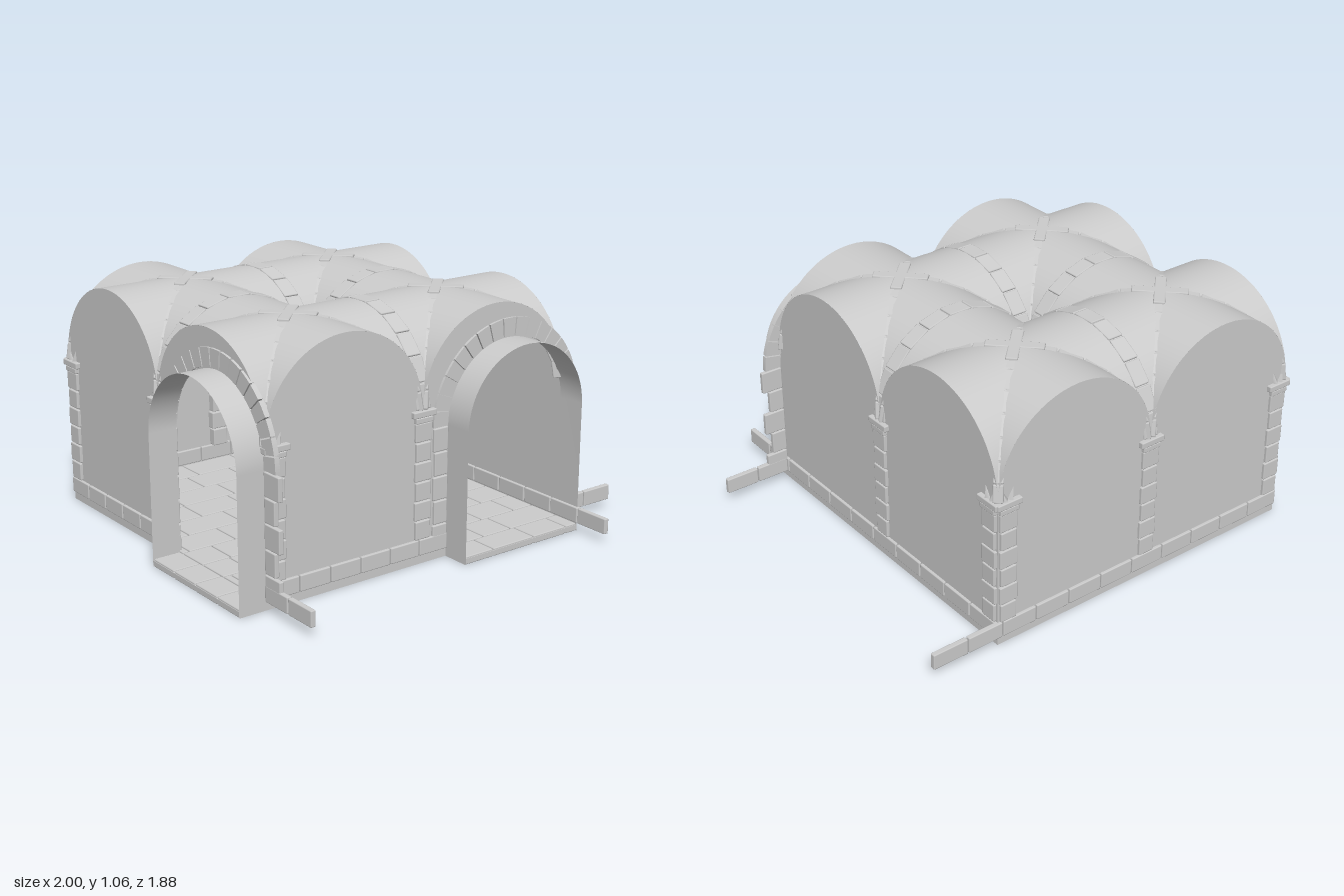
import * as THREE from 'three';
import { RoundedBoxGeometry } from 'three/addons/geometries/RoundedBoxGeometry.js';

const stone = new THREE.MeshStandardMaterial({ color: 0xcccccc });
const shell = new THREE.MeshStandardMaterial({ color: 0xcccccc, side: THREE.DoubleSide });
const gold = new THREE.MeshStandardMaterial({ color: 0xd0a040 });

const R = 0.3875, H = 2 * R;          // bay half width, room half width
const CX = -0.095, CZ = -0.145;       // room centre
const SPRING = 0.67;                  // height where the vaults start
const DOOR = { c: 0.455, r: 0.32, y: 0.58, depth: 0.13 };
const GAP = 0.005;

function add(parent, name, geometry, x = 0, y = 0, z = 0, material = stone) {
  const mesh = new THREE.Mesh(geometry, material);
  mesh.name = name;
  mesh.position.set(x, y, z);
  parent.add(mesh);
  return mesh;
}

function block(parent, name, w, h, d, x, y, z) {
  return add(parent, name, new RoundedBoxGeometry(w, h, d, 1, 0.005), x, y, z);
}

// Smooth strip between two rows of points
function strip(a, b) {
  const position = [], index = [];
  a.forEach((p, i) => {
    position.push(...p, ...b[i]);
    const k = 2 * i;
    if (i) index.push(k - 2, k - 1, k, k - 1, k + 1, k);
  });
  const g = new THREE.BufferGeometry();
  g.setAttribute('position', new THREE.Float32BufferAttribute(position, 3));
  g.setIndex(index);
  g.computeVertexNormals();
  return g;
}

// Half circle from right to left
function arc(cx, cy, r, n = 32) {
  return Array.from({ length: n + 1 }, (_, i) => {
    const t = Math.PI * i / n;
    return [cx + r * Math.cos(t), cy + r * Math.sin(t)];
  });
}

// Wall of one bay with a rounded top, optionally cut by the doorway
function bayWall(u, door) {
  const pts = [[u - R, 0]];
  if (door) {
    const { c, r, y } = DOOR;
    pts.push([c - r, 0], ...arc(c, y, r).reverse());
  } else pts.push([u + R, 0]);
  pts.push(...arc(u, SPRING, R));
  return new THREE.ShapeGeometry(new THREE.Shape(pts.map(p => new THREE.Vector2(...p))));
}

// Row of blocks along the foot of a wall
function skirting(parent, from, to) {
  const n = Math.max(1, Math.round((to - from) / 0.165)), w = (to - from) / n;
  for (let i = 0; i < n; i++)
    block(parent, 'skirtingBlock', w - GAP, 0.07, 0.024, from + (i + 0.5) * w, 0.075, H);
}

function pilaster(parent, u) {
  const g = new THREE.Group();
  g.name = 'pilaster';
  g.position.set(u, 0, H);
  parent.add(g);
  const rows = 6, h = 0.51 / rows;
  for (let i = 0; i < rows; i++)
    block(g, 'pilasterBlock', i % 2 ? 0.086 : 0.076, h - GAP, 0.05, 0, 0.11 + (i + 0.5) * h, -0.012);
  block(g, 'capitalNeck', 0.09, 0.025, 0.06, 0, 0.63, -0.012);
  block(g, 'capital', 0.12, 0.028, 0.075, 0, 0.657, -0.016);
  for (const s of [-1, 1]) {
    const leaf = add(g, 'springerTip', new THREE.ConeGeometry(0.02, 0.065, 4), s * 0.022, 0.7, -0.004);
    leaf.rotation.z = -s * 0.25;
  }
}

// Arch ring, jambs and short barrel passage
function doorway(parent) {
  const { c, r, y, depth } = DOOR;
  const g = new THREE.Group();
  g.name = 'doorway';
  parent.add(g);
  const line = [[c + r, 0], ...arc(c, y, r), [c - r, 0]];
  add(g, 'passage', strip(line.map(p => [...p, H]), line.map(p => [...p, H + depth])), 0, 0, 0, shell);
  const n = 17, inner = r + 0.008, outer = r + 0.085;
  for (let i = 0; i < n; i++) {
    const a = Math.PI * i / n + 0.008, b = Math.PI * (i + 1) / n - 0.008;
    const s = new THREE.Shape();
    s.absarc(0, 0, outer, a, b, false);
    s.absarc(0, 0, inner, b, a, true);
    add(g, 'archStone', new THREE.ExtrudeGeometry(s, { depth: 0.022, bevelEnabled: false, curveSegments: 3 }),
      c, y, H - 0.011);
  }
  const h = 0.106;
  for (let i = 0; i < 5; i++) for (const s of [-1, 1]) {
    const w = i % 2 ? 0.07 : s > 0 ? 0.1 : 0.076;
    block(g, 'jambStone', w, h - GAP, 0.022, c + s * (r + 0.004 + w / 2), 0.05 + (i + 0.5) * h, H);
  }
}

// Blocks set along half an ellipse in the local xy plane
function ribArch(parent, name, rx, count, width, thick, lift) {
  for (let i = 0; i < count; i++) {
    const t = Math.PI * (i + 0.5) / count;
    const tx = -rx * Math.sin(t), ty = R * Math.cos(t), l = Math.hypot(tx, ty);
    const off = lift - thick / 2;
    const rib = block(parent, name, l * Math.PI / count - GAP, thick, width,
      rx * Math.cos(t) + off * ty / l, R * Math.sin(t) - off * tx / l, 0);
    rib.rotation.z = Math.atan2(ty, tx) + Math.PI;
  }
}

// Cross vault over one bay: four webs, diagonal ribs and a crossing
function vault(parent, x, z) {
  const g = new THREE.Group();
  g.name = 'vault';
  g.position.set(x, SPRING, z);
  parent.add(g);
  const line = arc(0, 0, R, 40);
  for (let q = 0; q < 4; q++) {
    const web = add(g, 'vaultWeb',
      strip(line.map(([u, v]) => [u, v, Math.abs(u)]), line.map(([u, v]) => [u, v, R])), 0, 0, 0, shell);
    web.rotation.y = q * Math.PI / 2;
  }
  for (const s of [-1, 1]) {
    const diagonal = new THREE.Group();
    diagonal.name = 'diagonalRib';
    diagonal.rotation.y = s * Math.PI / 4;
    g.add(diagonal);
    ribArch(diagonal, 'ribBlock', R * Math.SQRT2, 15, 0.042, 0.04, 0.002);
    block(diagonal, 'crossingStone', 0.24, 0.03, 0.05, 0, R - 0.012, 0);
  }
}

// Paving in rows of uneven slabs
function paving(parent, x0, x1, z0, z1) {
  const sizes = [0.155, 0.23, 0.19, 0.27, 0.14], rows = Math.max(1, Math.round((z1 - z0) / 0.155));
  const d = (z1 - z0) / rows;
  let k = 0;
  for (let j = 0; j < rows; j++) {
    let x = x0 - (j % 3) * 0.06;
    while (x < x1 - 0.001) {
      let end = x + sizes[k++ % sizes.length];
      if (x1 - end < 0.06) end = x1;
      const a = Math.max(x, x0);
      if (end - a > 0.01)
        block(parent, 'pavingSlab', end - a - GAP, 0.036, d - GAP, (a + end) / 2, 0.018, z0 + (j + 0.5) * d);
      x = end;
    }
  }
  add(parent, 'mortarBed', new THREE.BoxGeometry(x1 - x0, 0.02, z1 - z0), (x0 + x1) / 2, 0.018, (z0 + z1) / 2);
}

export function createModel() {
  const model = new THREE.Group();
  model.name = 'vaultedChamber';
  const room = new THREE.Group();
  room.name = 'room';
  room.position.set(CX, 0, CZ);
  model.add(room);

  // Front, left-hand (-x), back and right-hand (+x) sides
  const end = H - 0.047, left = DOOR.c - DOOR.r;
  const sides = [
    { name: 'frontSide', door: true, posts: [-end, 0], skirts: [[-H, left], [H, 1.095]] },
    { name: 'passageSide', door: true, posts: [-end, 0], skirts: [[-H, left], [H, 1.085]] },
    { name: 'backSide', posts: [-end, 0, end], skirts: [[-1.095, H]] },
    { name: 'plainSide', posts: [0, end], skirts: [[-1.085, H]] },
  ];
  sides.forEach(({ name, door, posts, skirts }, i) => {
    const g = new THREE.Group();
    g.name = name;
    g.rotation.y = -i * Math.PI / 2;
    room.add(g);
    for (const u of [-R, R]) add(g, 'bayWall', bayWall(u, door && u > 0), 0, 0, H, shell);
    posts.forEach(u => pilaster(g, u));
    skirts.forEach(([a, b]) => skirting(g, a, b));
    if (door) doorway(g);
    // Transverse arch from the centre to the wall
    const rib = new THREE.Group();
    rib.name = 'transverseArch';
    rib.position.set(R, SPRING, 0);
    g.add(rib);
    ribArch(rib, 'archBlock', R, 11, 0.074, 0.05, 0.004);
  });
  for (const x of [-R, R]) for (const z of [-R, R]) vault(room, x, z);

  // Central column
  const profile = [[0, 0.07], [0.075, 0.07], [0.078, 0.085], [0.066, 0.1], [0.06, 0.115], [0.055, 0.57],
    [0.064, 0.58], [0.058, 0.595], [0.08, 0.635], [0, 0.635]].map(p => new THREE.Vector2(...p));
  add(room, 'columnShaft', new THREE.LatheGeometry(profile, 24));
  block(room, 'columnBase', 0.165, 0.04, 0.165, 0, 0.055, 0);
  block(room, 'columnCapital', 0.165, 0.035, 0.165, 0, 0.652, 0);

  // Floor, including both thresholds
  paving(room, -H, H, -H, H);
  paving(room, left, H, H, H + DOOR.depth);
  paving(room, -H - DOOR.depth, -H, left, H);

  // Low golden heaps on the floor
  for (const [x, z, r] of [[0.37, -0.42, 0.07], [0.5, -0.46, 0.055]])
    add(room, 'goldHeap', new THREE.ConeGeometry(r, 0.02, 10), x, 0.045, z, gold);
  return model;
}
